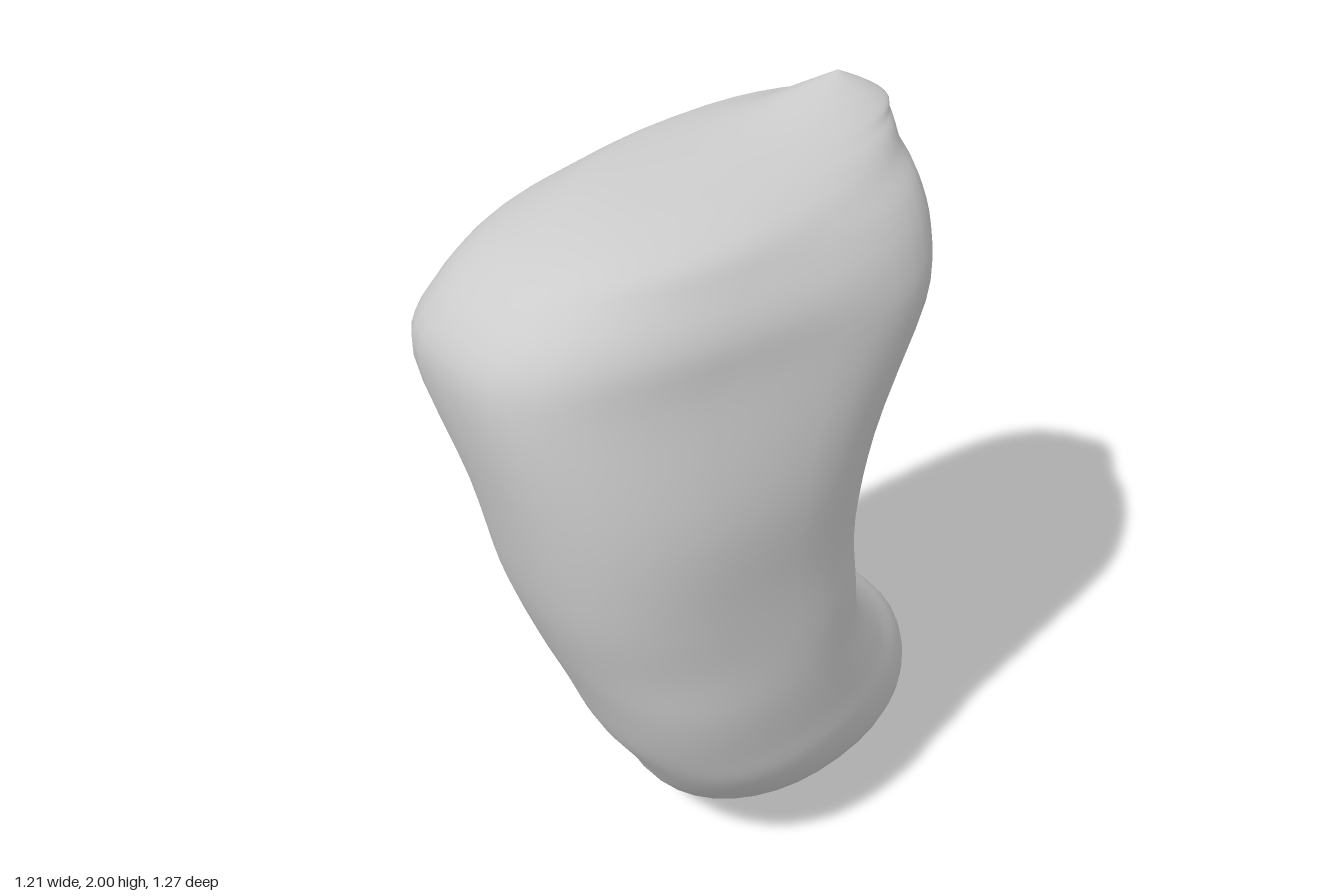
import * as THREE from 'three';

// Cross-sections from bottom to top:
// [height, long centre, long half, short centre, short half, skew, squareness]
// The long axis runs diagonally, from front right to back left.
const SECTIONS = [
  [0.0, 0.26, 0.004, 0.0, 0.004, 0, 2],
  [0.02, 0.255, 0.18, 0.0, 0.14, -0.05, 2],
  [0.08, 0.26, 0.345, 0.015, 0.235, -0.11, 2.1],
  [0.22, 0.27, 0.465, 0.04, 0.355, -0.19, 2.15],
  [0.37, 0.215, 0.495, 0.08, 0.38, -0.24, 2.2],
  [0.5, 0.1, 0.465, 0.12, 0.365, -0.165, 2.25],
  [0.65, 0.0, 0.425, 0.145, 0.355, -0.09, 2.4],
  [0.81, -0.055, 0.435, 0.15, 0.345, -0.02, 2.5],
  [1.0, -0.085, 0.47, 0.125, 0.365, -0.03, 2.5],
  [1.26, -0.075, 0.535, 0.1, 0.385, -0.02, 2.45],
  [1.56, -0.03, 0.635, 0.03, 0.395, 0.04, 2.9],
  [1.7, 0.02, 0.645, 0.01, 0.39, 0, 2.6],
  [1.8, 0.086, 0.595, -0.02, 0.36, -0.05, 2.5],
  [1.86, 0.15, 0.53, -0.035, 0.315, -0.13, 2.4],
  [1.9, 0.23, 0.45, -0.055, 0.25, -0.1, 2.3],
  [1.92, 0.32, 0.355, -0.065, 0.19, -0.05, 2.1],
  [1.94, 0.44, 0.235, -0.075, 0.13, 0, 2],
  [1.965, 0.51, 0.13, -0.09, 0.08, 0, 2],
  [2.0, 0.565, 0.004, -0.113, 0.004, 0, 2],
];
const SIDES = 40, STEPS = 4;

// Smooth blend between neighbouring sections
function sectionAt(t) {
  const last = SECTIONS.length - 1;
  const i = Math.min(Math.floor(t), last - 1), f = t - i;
  const row = (k) => SECTIONS[Math.max(0, Math.min(last, k))];
  const [p, q, r, s] = [row(i - 1), row(i), row(i + 1), row(i + 2)];
  return q.map((v, k) => {
    const m0 = (r[k] - p[k]) / 2, m1 = (s[k] - v) / 2, d = r[k] - v;
    return v + f * (m0 + f * (3 * d - 2 * m0 - m1 + f * (m0 + m1 - 2 * d)));
  });
}

const rounded = (v, power) => Math.sign(v) * Math.pow(Math.abs(v), 2 / power);

export function createModel() {
  const positions = [], index = [];
  const rings = (SECTIONS.length - 1) * STEPS;
  for (let j = 0; j <= rings; j++) {
    const [y, uc, a, nc, b, skew, power] = sectionAt(j / STEPS);
    for (let i = 0; i < SIDES; i++) {
      const angle = (i / SIDES) * Math.PI * 2;
      const along = a * rounded(Math.cos(angle), power);
      const u = uc + along;
      const n = nc + b * rounded(Math.sin(angle), power) + skew * along;
      positions.push((u + n) * Math.SQRT1_2, y, (n - u) * Math.SQRT1_2);
      if (j < rings) {
        const p = j * SIDES + i, q = j * SIDES + ((i + 1) % SIDES);
        index.push(p, p + SIDES, q, q, p + SIDES, q + SIDES);
      }
    }
  }
  // Close the tiny end rings
  const top = rings * SIDES;
  for (let i = 1; i < SIDES - 1; i++) {
    index.push(0, i, i + 1, top, top + i + 1, top + i);
  }

  const geometry = new THREE.BufferGeometry();
  geometry.setAttribute('position', new THREE.Float32BufferAttribute(positions, 3));
  geometry.setIndex(index);
  geometry.computeVertexNormals();

  const body = new THREE.Mesh(geometry, new THREE.MeshStandardMaterial({ color: 0xcccccc }));
  body.name = 'curvedBody';
  const group = new THREE.Group();
  group.name = 'curvedStone';
  group.add(body);
  return group;
}
